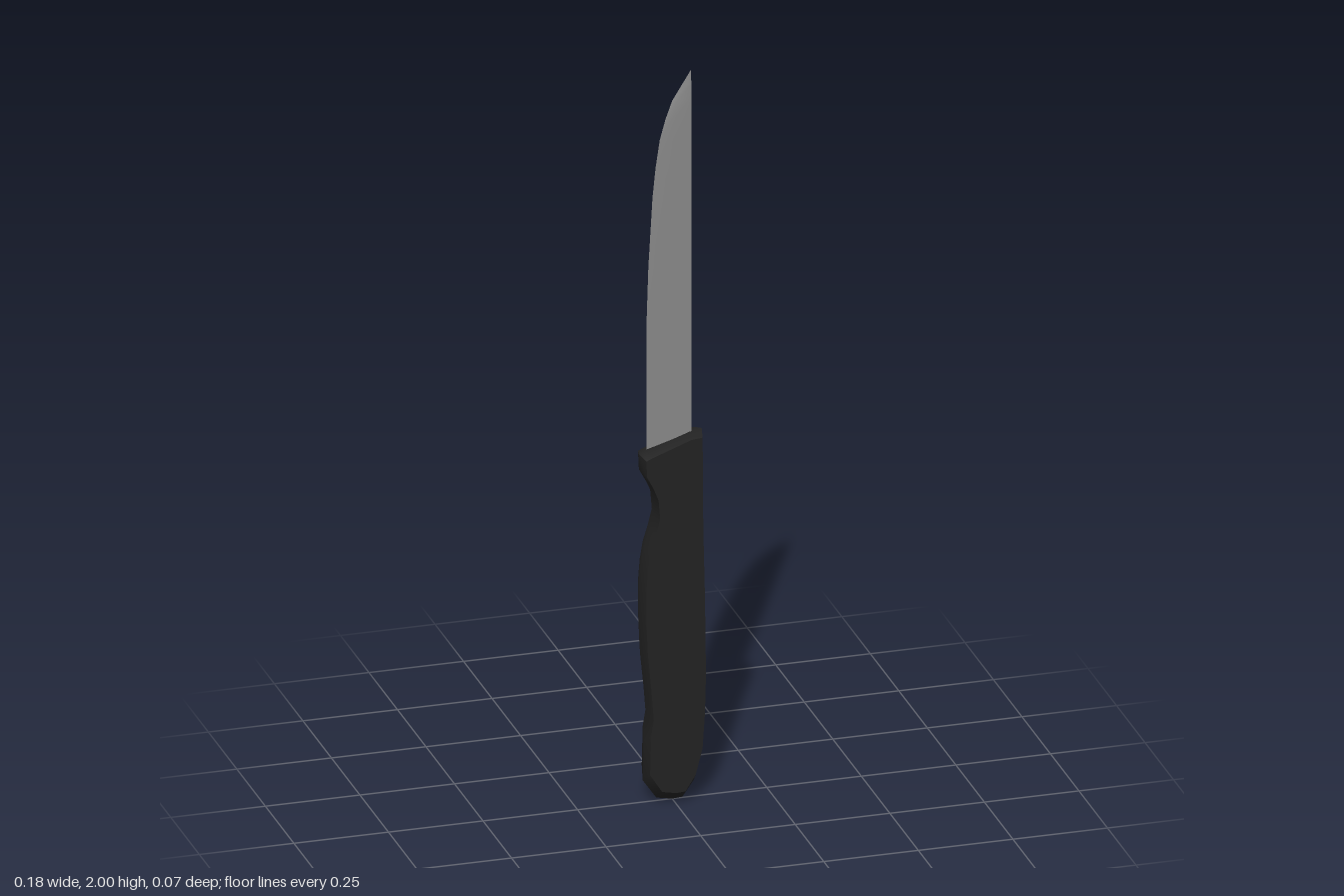
import * as THREE from 'three';
import { toCreasedNormals } from 'three/addons/utils/BufferGeometryUtils.js';

// Join equal-length rings of [x, y, z] points; capFaces closes the first and last ring.
function loft(rings, capFaces = []) {
  const n = rings[0].length, last = (rings.length - 1) * n, index = [];
  for (let r = 0; r < rings.length - 1; r++) {
    for (let i = 0; i < n; i++) {
      const a = r * n + i, b = r * n + (i + 1) % n;
      index.push(a, b, b + n, a, b + n, a + n);
    }
  }
  for (const [a, b, c] of capFaces) index.push(c, b, a, a + last, b + last, c + last);
  const geo = new THREE.BufferGeometry();
  geo.setAttribute('position', new THREE.Float32BufferAttribute(rings.flat(2), 3));
  geo.setIndex(index);
  return toCreasedNormals(geo, 0.8);
}

function part(name, geometry, color) {
  const mesh = new THREE.Mesh(geometry, new THREE.MeshStandardMaterial({ color }));
  mesh.name = name;
  return mesh;
}

// Handle: widest outline in the middle plane, slightly inset flat faces front and back
function makeHandle() {
  const outline = [
    [0.078, 1.01], [0.045, 1.007], [-0.07, 0.968], [-0.089, 0.96], [-0.087, 0.915],
    [-0.068, 0.88], [-0.053, 0.845], [-0.048, 0.79], [-0.06, 0.745], [-0.075, 0.70],
    [-0.084, 0.65], [-0.089, 0.59], [-0.089, 0.5], [-0.085, 0.41], [-0.074, 0.3],
    [-0.067, 0.215], [-0.075, 0.17], [-0.078, 0.06], [-0.042, 0.008], [0, 0],
    [0.027, 0.002], [0.057, 0.045], [0.078, 0.12], [0.085, 0.22], [0.088, 0.33],
    [0.085, 0.55], [0.08, 0.75],
  ];
  const half = 0.037;
  const face = z => outline.map(([x, y]) => [x * 0.89, 0.03 + y * 0.96, z]);
  const middle = outline.map(([x, y]) => [x, y, 0]);
  const caps = THREE.ShapeUtils.triangulateShape(
    face(0).map(([x, y]) => new THREE.Vector2(x, y)), []);
  return part('handle', loft([face(-half), middle, face(half)], caps), 0x222222);
}

// Blade: straight spine, curved cutting edge, ground to a wedge beyond a shallow ridge
function makeBlade() {
  const spine = 0.05;
  const edge = [
    [-0.068, 0.94], [-0.068, 1.31], [-0.063, 1.47], [-0.052, 1.66], [-0.044, 1.74],
    [-0.033, 1.815], [-0.018, 1.87], [0, 1.92], [0.025, 1.96], [spine, 2],
  ];
  const rings = edge.map(([x, y]) => {
    const ridge = Math.min(spine, Math.max(0, x + 0.012));
    const t = 0.004 * Math.min(1, (spine - x) / 0.05);
    return [[x, y, 0], [ridge, y, t], [spine, y, t], [spine, y, -t], [ridge, y, -t]];
  });
  return part('blade', loft(rings), 0x888888);
}

export function createModel() {
  const knife = new THREE.Group();
  knife.name = 'knife';
  knife.add(makeHandle(), makeBlade());
  return knife;
}
